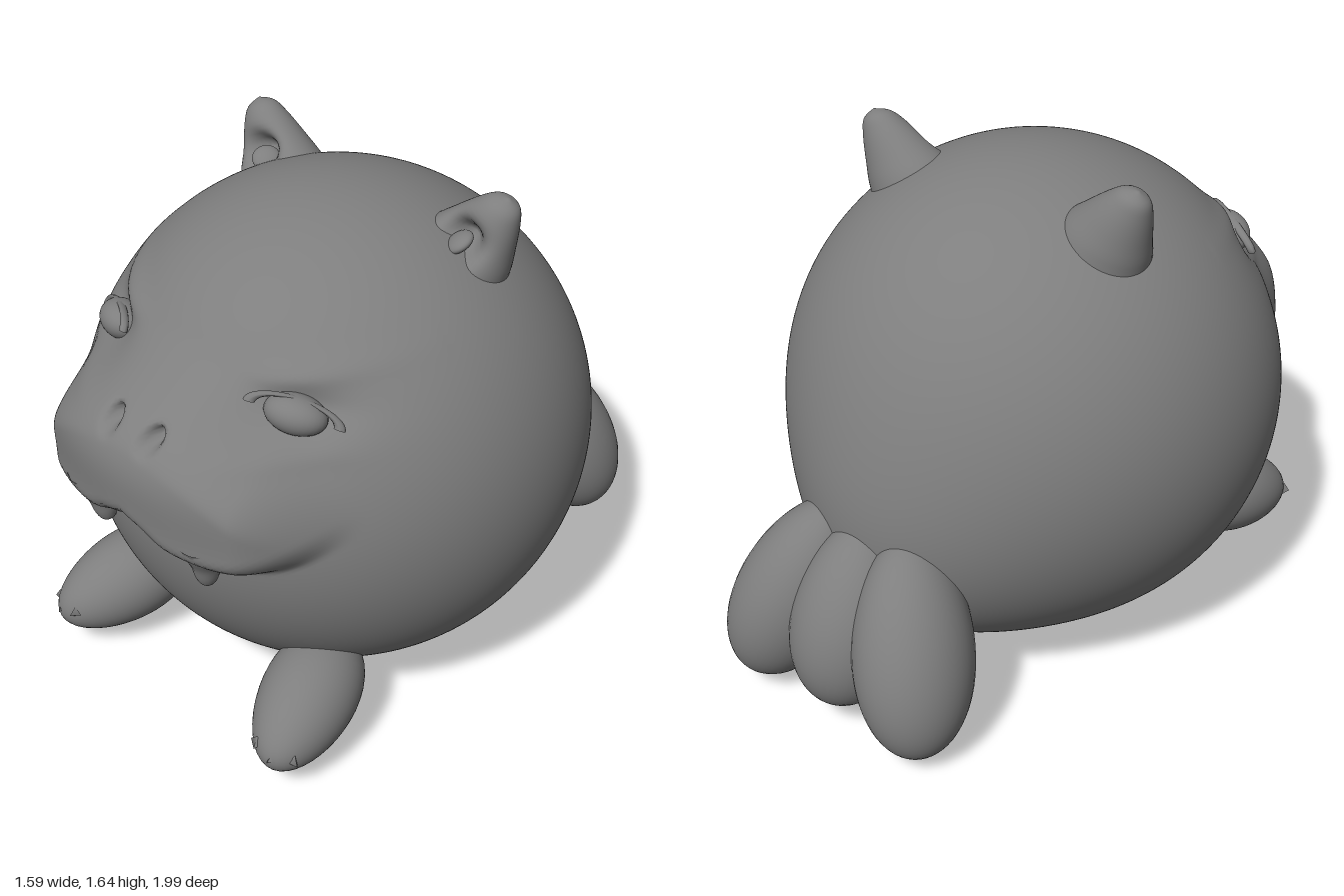
import * as THREE from 'three';
import { mergeVertices } from 'three/addons/utils/BufferGeometryUtils.js';

const material = new THREE.MeshStandardMaterial({ color: 0x7e7e7e, side: THREE.DoubleSide });
const step = THREE.MathUtils.smoothstep;
const bump = (dx, dy, rx, ry) => Math.exp(-((dx / rx) ** 2) - (dy / ry) ** 2);

// Move every vertex by a rule, then weld and smooth.
function reshape(geometry, rule) {
  geometry.deleteAttribute('uv');
  geometry.deleteAttribute('normal');
  const g = mergeVertices(geometry, 1e-4);
  const p = g.attributes.position;
  const v = new THREE.Vector3();
  for (let i = 0; i < p.count; i++) {
    rule(v.fromBufferAttribute(p, i));
    p.setXYZ(i, v.x, v.y, v.z);
  }
  g.computeVertexNormals();
  return g;
}

function add(parent, name, geometry, position = [0, 0, 0], rotation = [0, 0, 0], scale = [1, 1, 1]) {
  const m = new THREE.Mesh(geometry, material);
  m.name = name;
  m.position.set(...position);
  m.rotation.set(...rotation);
  m.scale.set(...scale);
  parent.add(m);
}

const spline = (pts, n) => new THREE.SplineCurve(pts.map(([x, y]) => new THREE.Vector2(x, y))).getPoints(n);
const lathe = (pts, n) => new THREE.LatheGeometry(spline(pts, 24), n);

// Ball body with a rump, a wide drooping muzzle, eye sockets and nostrils.
function bodyGeometry() {
  const centre = new THREE.Vector3(0, 0.803, 0.1);
  const rump = new THREE.Vector3(0, -0.45, -0.89).normalize();
  const lip = spline([[0, 0.855], [0.08, 0.83], [0.17, 0.795], [0.34, 0.79], [0.46, 0.83], [0.55, 0.9], [0.65, 0.98]], 80);
  const lipY = (x) => {
    const i = Math.max(1, lip.findIndex((q) => q.x >= x));
    const a = lip[i - 1], b = lip[i];
    return a.y + (b.y - a.y) * (x - a.x) / (b.x - a.x);
  };
  return reshape(new THREE.IcosahedronGeometry(0.793, 64), (v) => {
    const d = v.clone().normalize().dot(rump);
    v.multiplyScalar(1 + 0.155 * Math.exp((d - 1) / 0.135)).add(centre);
    if (v.z < 0.25) return;
    const x = Math.abs(v.x), y = v.y;
    if (x < 0.64) {
      const low = lipY(x), top = 1.33 - 0.9 * x * x;
      const side = 1 - step(x, 0.36, 0.6);
      const rise = step(y, low - 0.035, low + 0.065);
      const fall = 1 - step(y, top - 0.24, top + 0.01);
      v.z += (0.105 + 0.035 * step(y, 0.85, 1.08) + 0.15 * x * x) * side * rise * fall;
      // Rounded lip edge
      v.y -= 0.02 * side * bump(0, y - low - 0.02, 1, 0.05);
    }
    // Sockets, brow folds and nostrils
    const ex = x - 0.37, ey = y - 1.22;
    v.z -= 0.05 * bump(ex, ey, 0.13, 0.055);
    v.z += 0.022 * bump(ex, ey - 0.1 - 0.12 * ex, 0.14, 0.035);
    v.z += 0.012 * bump(ex, ey + 0.09, 0.12, 0.03);
    v.z -= 0.09 * bump(x - 0.08, y - 1.142, 0.022, 0.022);
  });
}

// Pointed ear, full at the front base, with a small hollow inside a thick rim.
function earGeometry() {
  const g = lathe([[0.16, -0.1], [0.148, 0], [0.112, 0.09], [0.075, 0.17], [0.045, 0.215], [0, 0.235]], 56);
  return reshape(g, (v) => {
    const lean = Math.max(0, v.y);
    if (v.z > 0) v.z -= 0.12 * bump(v.x + 0.01, v.y - 0.075, 0.06, 0.055) * step(v.z, 0, 0.08);
    v.x += 0.17 * lean;
    v.z = v.z * 0.88 - 0.13 * lean;
  });
}

// Plump paw: fuller at the heel, narrower at the toes.
function pawGeometry() {
  return reshape(new THREE.SphereGeometry(1, 40, 28), (v) => {
    const taper = 1 - 0.12 * v.z;
    v.set(v.x * 0.148 * taper, v.y * 0.145 * taper, v.z * 0.245);
  });
}

// Tail lobe: rounded, heavier at the lower end.
function lobeGeometry() {
  return reshape(new THREE.SphereGeometry(1, 40, 32), (v) => {
    const w = 1 - 0.08 * v.y;
    v.x *= w;
    v.z *= w;
  });
}

export function createModel() {
  const model = new THREE.Group();
  model.name = 'roundCreature';
  add(model, 'body', bodyGeometry());

  const ball = new THREE.SphereGeometry(1, 32, 20);
  const ear = earGeometry(), paw = pawGeometry(), lobe = lobeGeometry();
  const fang = lathe([[0.085, 0.1], [0.068, 0.05], [0.047, 0], [0.036, -0.05], [0.022, -0.08], [0, -0.088]], 20);
  const claw = new THREE.ConeGeometry(0.024, 0.03, 4);
  const lid = new THREE.TorusGeometry(0.1, 0.013, 8, 28, Math.PI);

  // Everything paired is built on the left and mirrored to the right.
  for (const s of [1, -1]) {
    const half = new THREE.Group();
    half.name = s > 0 ? 'leftSide' : 'rightSide';
    half.scale.x = s;
    model.add(half);

    add(half, 'ear', ear, [0.37, 1.445, -0.045], [0, 0, -0.4]);
    add(half, 'innerEar', ball, [0.39, 1.5, 0.005], [0.3, 0.3, 0.4], [0.045, 0.022, 0.045]);

    // Eye with a heavy, low upper lid
    add(half, 'eye', ball, [0.36, 1.22, 0.645], [-0.45, 0.45, 0.05], [0.092, 0.058, 0.065]);
    add(half, 'eyelid', lid, [0.37, 1.228, 0.662], [-0.5, 0.55, 0.04], [1.3, 0.48, 1]);

    add(half, 'fang', fang, [0.225, 0.77, 0.882], [0.08, 0, -0.08]);

    // Front paw, splayed outwards and tipped down at the toes
    const foot = new THREE.Group();
    foot.name = 'frontPaw';
    foot.position.set(0.415, 0.215, 0.685);
    foot.rotation.set(0.28, 0.3, 0, 'YXZ');
    half.add(foot);
    add(foot, 'paw', paw);
    [-0.06, 0, 0.055].forEach((x, i) =>
      add(foot, 'claw', claw, [x, 0.035 - 0.01 * i, 0.234 - Math.abs(x) * 0.4], [Math.PI / 2, 0, 0.5 * i]));

    add(half, 'outerTailLobe', lobe, [0.238, 0.355, -0.778], [0.35, 0, 0.32], [0.178, 0.335, 0.192]);
  }
  add(model, 'middleTailLobe', lobe, [0, 0.37, -0.782], [0.35, 0, 0], [0.185, 0.3, 0.185]);
  return model;
}
